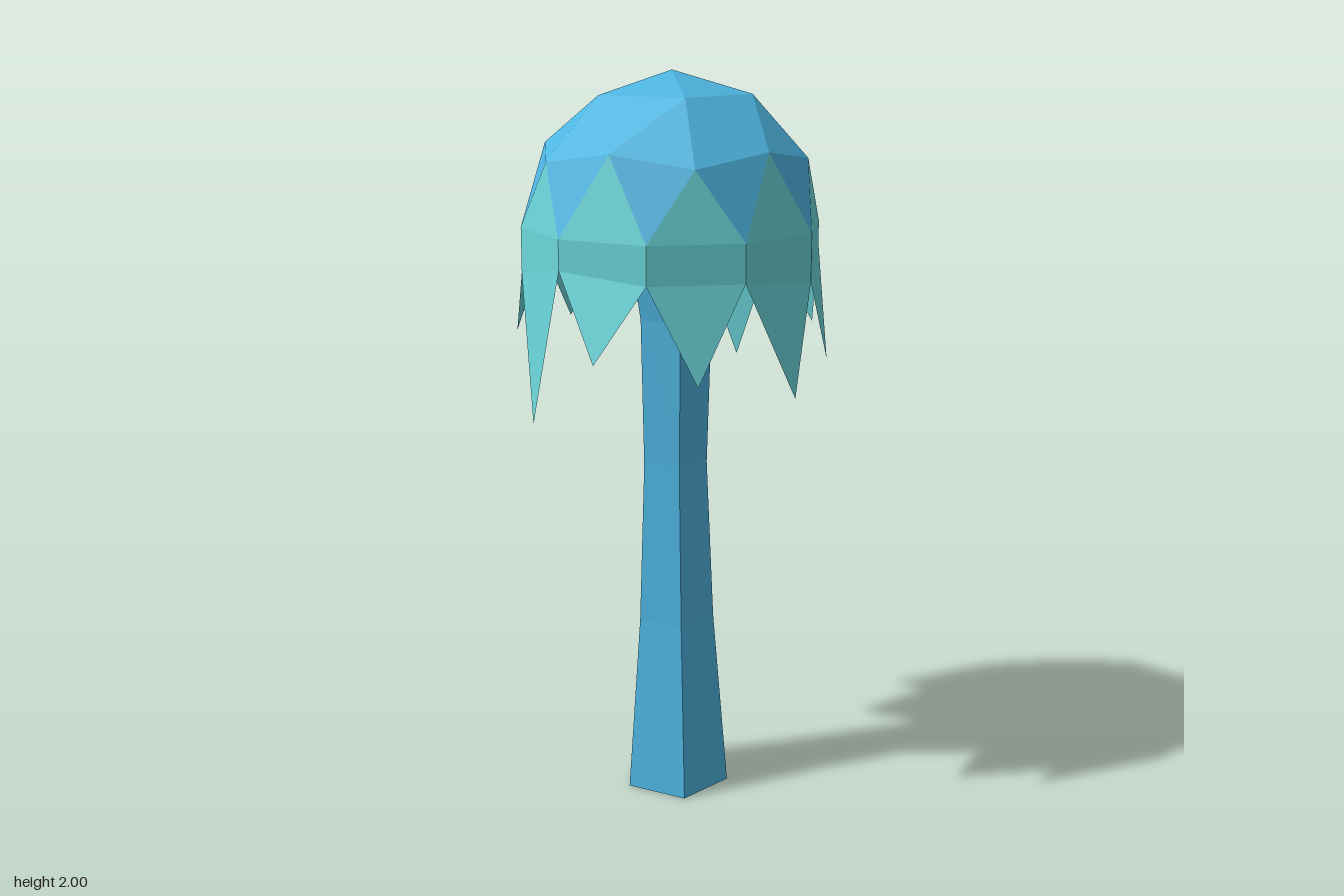
import * as THREE from 'three';

const blue = new THREE.MeshStandardMaterial({ color: 0x4fb7e3, flatShading: true, side: THREE.DoubleSide });
blue.name = 'blue';
const turquoise = new THREE.MeshStandardMaterial({ color: 0x6cd8dc, flatShading: true, side: THREE.DoubleSide });
turquoise.name = 'turquoise';

const STEP = Math.PI / 5;

// point on a ring; the angle is counted in tenths of a turn from +x towards +z
function ringPoint(r, y, tenths, cx = 0.003) {
  return new THREE.Vector3(cx + r * Math.cos(tenths * STEP), y, r * Math.sin(tenths * STEP));
}

function facetMesh(name, triangles, material) {
  const geometry = new THREE.BufferGeometry().setFromPoints(triangles.flat());
  geometry.computeVertexNormals();
  const mesh = new THREE.Mesh(geometry, material);
  mesh.name = name;
  return mesh;
}

export function createModel() {
  const model = new THREE.Group();
  model.name = 'tree';

  // five-sided trunk, flared at both ends: [height, radius, centre x]
  const sections = [[0, 0.149, 0.0155], [0.5, 0.109, 0.012], [0.95, 0.091, 0.009], [1.35, 0.101, 0.01], [1.6, 0.135, 0.005]];
  const rings = sections.map(([y, r, cx]) =>
    [0, 1, 2, 3, 4].map((i) => ringPoint(r, y, i * 2, cx)));
  const trunk = [];
  for (let i = 0; i < 5; i++) {
    const j = (i + 1) % 5;
    for (let s = 0; s < rings.length - 1; s++) {
      const lo = rings[s], hi = rings[s + 1];
      trunk.push([lo[i], hi[i], hi[j]], [lo[i], hi[j], lo[j]]);
    }
    trunk.push([new THREE.Vector3(0.0155, 0, 0), rings[0][i], rings[0][j]]);
    trunk.push([new THREE.Vector3(0.005, 1.6, 0), rings[4][j], rings[4][i]]);
  }
  model.add(facetMesh('trunk', trunk, blue));

  // faceted dome: upper half of a once-divided icosahedron
  const R = 0.4, base = 1.6;
  const apex = ringPoint(0, base + R, 0);
  const inner = (k) => ringPoint(R * 0.526, base + R * 0.851, k * 2);
  const outer = (k) => (k % 2 === 0
    ? ringPoint(R * 0.894, base + R * 0.447, k)
    : ringPoint(R * 0.851, base + R * 0.526, k));
  const rim = (k) => ringPoint(R, base, k + 0.5);
  const dome = [];
  for (let k = 0; k < 5; k++) {
    dome.push(
      [apex, inner(k + 1), inner(k)],
      [inner(k), inner(k + 1), outer(2 * k + 1)],
      [inner(k), outer(2 * k + 1), outer(2 * k)],
      [inner(k + 1), outer(2 * k + 2), outer(2 * k + 1)]);
  }
  for (let k = 0; k < 10; k++) dome.push([outer(k), outer(k + 1), rim(k)]);
  model.add(facetMesh('crownDome', dome, blue));

  // hanging leaves: pointed top on the dome, short band, long uneven tip
  const tipY = [1.25, 1.2, 1.25, 1.3, 1.1, 1.3, 1.3, 1.23, 1.17, 1.3];
  const tipR = [0.418, 0.442, 0.416, 0.43, 0.407, 0.428, 0.409, 0.432, 0.419, 0.443];
  const notchY = [1.475, 1.5, 1.5, 1.52, 1.48, 1.5, 1.53, 1.52, 1.49, 1.54];
  const notch = (k) => ringPoint(R, notchY[(k + 10) % 10], k + 0.5);
  const leaves = new THREE.Group();
  leaves.name = 'leaves';
  for (let k = 0; k < 10; k++) {
    const a = rim(k - 1), b = rim(k), c = notch(k - 1), d = notch(k);
    leaves.add(facetMesh('leaf', [
      [outer(k), b, a],
      [a, b, d], [a, d, c],
      [c, d, ringPoint(tipR[k], tipY[k], k)],
    ], turquoise));
  }
  model.add(leaves);
  return model;
}
